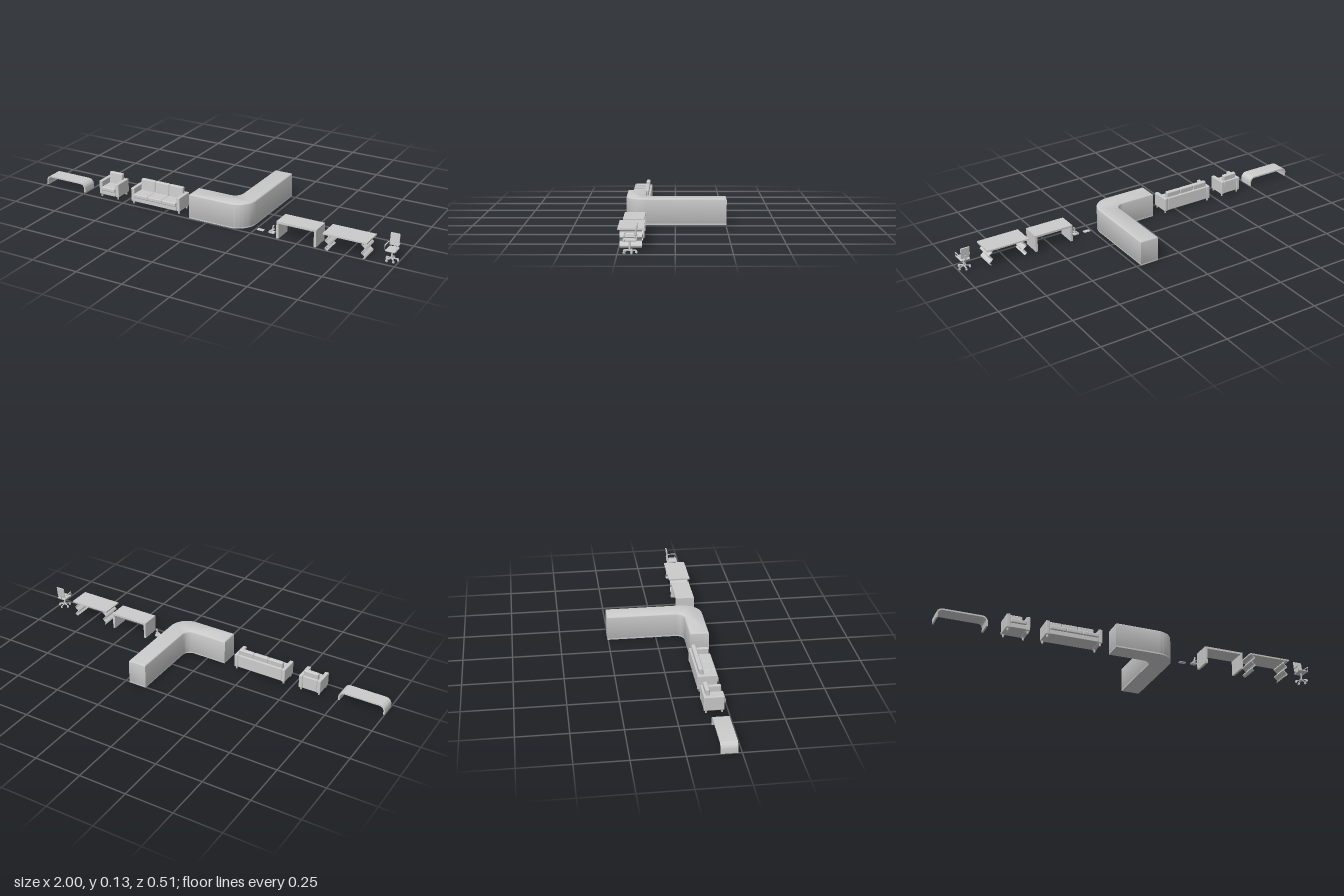
import * as THREE from 'three';
import { toCreasedNormals } from 'three/addons/utils/BufferGeometryUtils.js';
import { RoundedBoxGeometry } from 'three/addons/geometries/RoundedBoxGeometry.js';

const grey = new THREE.MeshStandardMaterial({ color: 0xcccccc });

function add(parent, name, geometry) {
  const mesh = new THREE.Mesh(geometry, grey);
  mesh.name = name;
  parent.add(mesh);
  return mesh;
}

function group(parent, name, x = 0, y = 0, z = 0) {
  const g = new THREE.Group();
  g.name = name;
  g.position.set(x, y, z);
  parent.add(g);
  return g;
}

// box given by its limits, optionally with rounded edges
function box(parent, name, x0, x1, y0, y1, z0, z1, r = 0) {
  const size = [x1 - x0, y1 - y0, z1 - z0];
  const geo = r ? new RoundedBoxGeometry(...size, 2, r) : new THREE.BoxGeometry(...size);
  const mesh = add(parent, name, geo);
  mesh.position.set((x0 + x1) / 2, (y0 + y1) / 2, (z0 + z1) / 2);
  return mesh;
}

function cylinder(parent, name, r0, r1, h, x, y, z, sides = 16) {
  const mesh = add(parent, name, new THREE.CylinderGeometry(r0, r1, h, sides));
  mesh.position.set(x, y, z);
  return mesh;
}

// front-view outline pulled from z0 to z1
function extrudeZ(parent, name, shape, z0, z1) {
  const geo = new THREE.ExtrudeGeometry(shape, { depth: z1 - z0, bevelEnabled: false, curveSegments: 10 });
  const mesh = add(parent, name, toCreasedNormals(geo, 0.6));
  mesh.position.z = z0;
  return mesh;
}

// low bench table bent from one sheet
function coffeeTable(root) {
  const g = group(root, 'coffeeTable', -0.875, 0, 0);
  const w = 0.125, h = 0.051, t = 0.008, R = 0.03, r = R - t;
  const s = new THREE.Shape();
  s.moveTo(-w, 0);
  s.lineTo(-w, h - R);
  s.absarc(-w + R, h - R, R, Math.PI, Math.PI / 2, true);
  s.absarc(w - R, h - R, R, Math.PI / 2, 0, true);
  s.lineTo(w, 0);
  s.lineTo(w - t, 0);
  s.absarc(w - R, h - R, r, 0, Math.PI / 2, false);
  s.absarc(-w + R, h - R, r, Math.PI / 2, Math.PI, false);
  s.lineTo(-w + t, 0);
  extrudeZ(g, 'bentSheet', s, 0.152, 0.232);
}

// upholstered seat with any number of cushions
function sofa(root, name, x, halfWidth, seats) {
  const g = group(root, name, x, 0, 0);
  const arm = 0.02, inner = halfWidth - arm, step = 2 * inner / seats;
  box(g, 'seatFrame', -inner, inner, 0.016, 0.04, 0.135, 0.232, 0.002);
  box(g, 'backRest', -inner, inner, 0.016, 0.088, 0.132, 0.15, 0.004);
  for (let i = 0; i < seats; i++) {
    const a = -inner + i * step;
    box(g, 'seatCushion', a, a + step, 0.039, 0.06, 0.155, 0.239, 0.005);
    const c = box(g, 'backCushion', a, a + step, 0.055, 0.118, 0.142, 0.164, 0.006);
    c.rotation.x = -0.08;
  }
  for (const s of [-1, 1]) {
    const mid = s * (halfWidth - arm / 2);
    box(g, 'armRest', mid - arm / 2, mid + arm / 2, 0.014, 0.088, 0.131, 0.23, 0.004);
    for (const z of [0.143, 0.22]) cylinder(g, 'foot', 0.006, 0.0045, 0.016, mid, 0.008, z, 10);
  }
}

// L-shaped counter: outline with inset for the softened top edge
function receptionDesk(root) {
  const g = group(root, 'receptionDesk');
  const s = new THREE.Shape();
  const x0 = -0.102, x1 = 0.128, x2 = 0.226, front = -0.245, inner = -0.147, back = 0.254;
  const R = 0.1, r = 0.045;
  s.moveTo(x0, front);
  s.lineTo(x2 - R, front);
  s.absarc(x2 - R, front + R, R, -Math.PI / 2, 0, false);
  s.lineTo(x2, back);
  s.lineTo(x1, back);
  s.lineTo(x1, inner + r);
  s.absarc(x1 - r, inner + r, r, 0, -Math.PI / 2, true);
  s.lineTo(x0, inner);
  const b = 0.007;
  const build = (name, options, y) => {
    const geo = new THREE.ExtrudeGeometry(s, { curveSegments: 20, ...options });
    const mesh = add(g, name, toCreasedNormals(geo, 0.6));
    mesh.rotation.x = -Math.PI / 2;
    mesh.position.y = y;
  };
  build('counterBody', {
    depth: 0.132 - 2 * b, bevelThickness: b, bevelSize: b, bevelOffset: -b, bevelSegments: 4,
  }, b);
  build('counterFoot', { depth: b + 0.001, bevelEnabled: false }, 0);
}

// flat keyboard and a small desk telephone
function smallItems(root) {
  const k = group(root, 'keyboard', 0.277, 0, 0.193);
  box(k, 'keyboardBody', -0.018, 0.018, 0, 0.003, -0.011, 0.011, 0.001);
  box(k, 'keyField', -0.015, 0.015, 0.003, 0.0045, -0.008, 0.008);
  const p = group(root, 'telephone', 0.34, 0, 0.196);
  box(p, 'phoneBase', -0.014, 0.016, 0, 0.008, -0.011, 0.011, 0.002);
  const panel = box(p, 'phonePanel', -0.015, 0.015, 0.011, 0.017, -0.01, 0.01, 0.002);
  panel.rotation.z = 0.5;
  const handset = box(p, 'handset', 0.002, 0.009, 0.012, 0.044, -0.005, 0.005, 0.003);
  handset.rotation.z = -0.25;
}

// desk on two plain side panels
function panelDesk(root) {
  const g = group(root, 'panelDesk', 0.492, 0, 0);
  box(g, 'deskTop', -0.106, 0.106, 0.08, 0.091, 0.143, 0.242);
  for (const s of [-1, 1]) box(g, 'sidePanel', s * 0.1 - 0.006, s * 0.1 + 0.006, 0, 0.08, 0.143, 0.242);
}

// desk on two rippled side sheets
function waveDesk(root) {
  const g = group(root, 'waveDesk', 0.75, 0, 0);
  box(g, 'deskTop', -0.113, 0.113, 0.083, 0.091, 0.138, 0.255);
  const n = 32, height = 0.083, t = 0.003;
  for (const s of [-1, 1]) {
    const left = [], right = [];
    for (let i = 0; i <= n; i++) {
      const y = height * i / n;
      const x = s * (0.093 + 0.009 * Math.sin(i / n * Math.PI * 4));
      left.push(new THREE.Vector2(x - t, y));
      right.push(new THREE.Vector2(x + t, y));
    }
    extrudeZ(g, 'wavePanel', new THREE.Shape([...right, ...left.reverse()]), 0.147, 0.246);
  }
}

// swivel chair with star base and castors
function officeChair(root) {
  const g = group(root, 'officeChair', 0.966, 0, 0.197);
  for (let i = 0; i < 5; i++) {
    const spoke = group(g, 'baseSpoke');
    spoke.rotation.y = i * Math.PI * 2 / 5 + Math.PI / 2;
    const bar = box(spoke, 'spokeBar', 0.002, 0.032, 0.011, 0.016, -0.0025, 0.0025);
    bar.rotation.z = -0.12;
    for (const s of [-1, 1]) {
      const wheel = cylinder(spoke, 'castor', 0.0055, 0.0055, 0.003, 0.029, 0.0055, s * 0.0025, 12);
      wheel.rotation.x = Math.PI / 2;
    }
  }
  cylinder(g, 'hub', 0.005, 0.006, 0.012, 0, 0.016, 0);
  cylinder(g, 'gasColumn', 0.0035, 0.0045, 0.037, 0, 0.037, 0);
  box(g, 'seat', -0.025, 0.025, 0.055, 0.063, -0.03, 0.03, 0.003);
  const support = box(g, 'backSupport', -0.004, 0.004, 0.056, 0.085, -0.033, -0.029);
  support.rotation.x = -0.12;
  const back = box(g, 'backRest', -0.024, 0.024, 0.068, 0.13, -0.032, -0.025, 0.003);
  back.rotation.x = -0.13;
  // looped arm rests
  for (const s of [-1, 1]) {
    const x = s * 0.028;
    const path = new THREE.CatmullRomCurve3([
      [s * 0.02, 0.057, 0.018], [x, 0.06, 0.02], [x, 0.078, 0.025],
      [x, 0.084, 0.018], [x, 0.084, -0.02], [s * 0.023, 0.084, -0.028],
    ].map(p => new THREE.Vector3(...p)));
    add(g, 'armFrame', new THREE.TubeGeometry(path, 24, 0.0018, 6));
    box(g, 'armPad', x - 0.003, x + 0.003, 0.083, 0.087, -0.02, 0.025, 0.001);
  }
}

export function createModel() {
  const root = new THREE.Group();
  root.name = 'officeFurnitureSet';
  coffeeTable(root);
  sofa(root, 'armchair', -0.599, 0.06, 1);
  sofa(root, 'sofa', -0.314, 0.146, 3);
  receptionDesk(root);
  smallItems(root);
  panelDesk(root);
  waveDesk(root);
  officeChair(root);
  return root;
}
